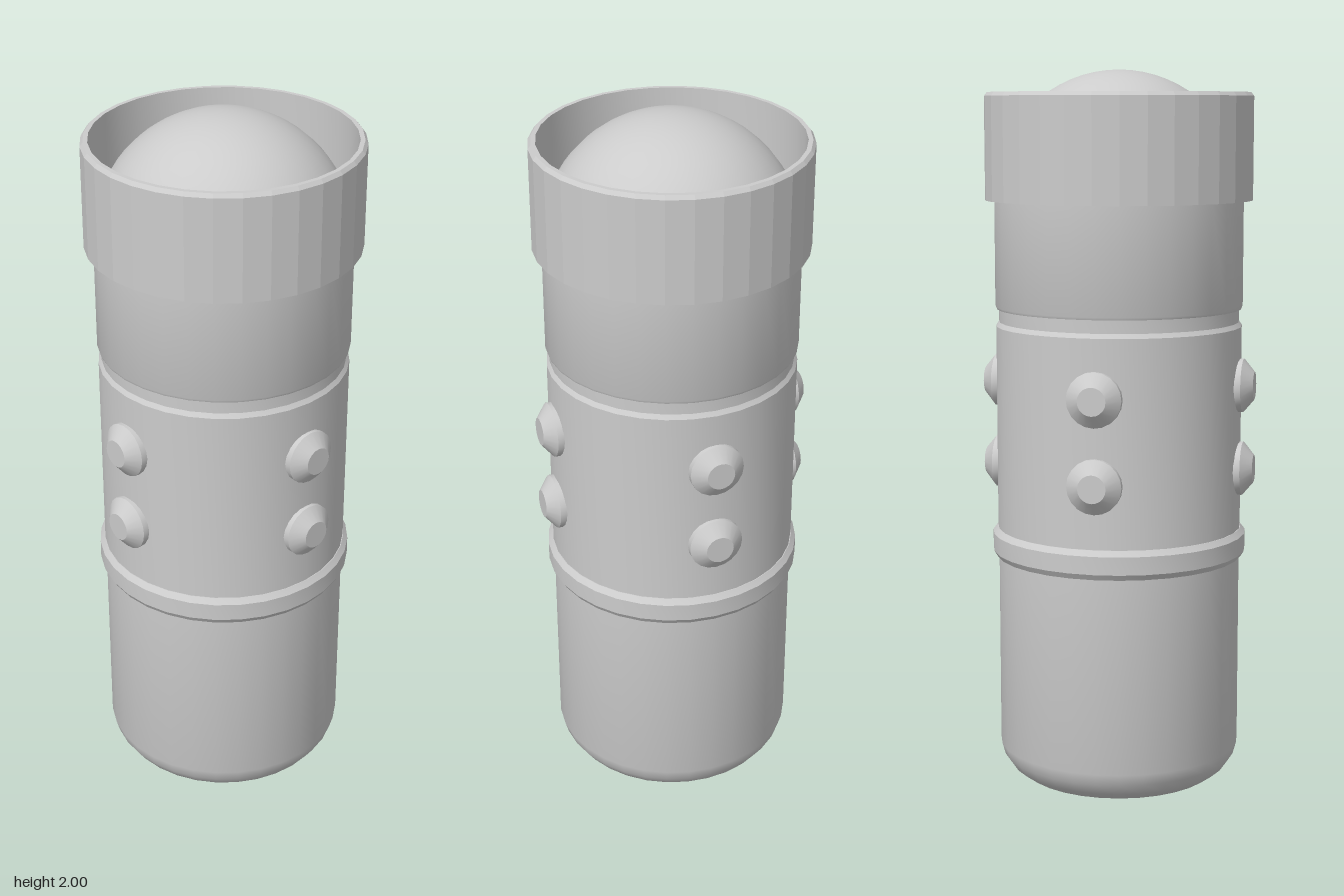
import * as THREE from 'three';
import { toCreasedNormals } from 'three/addons/utils/BufferGeometryUtils.js';

const SIDES = 32;
const material = new THREE.MeshStandardMaterial({ color: 0xcccccc });
const flatMaterial = new THREE.MeshStandardMaterial({ color: 0xcccccc, flatShading: true });

// Turned part from [radius, height] pairs listed bottom to top on the outside
function turned(name, profile, sides = SIDES, mat = material) {
  const points = profile.map(([r, y]) => new THREE.Vector2(r, y));
  const geometry = toCreasedNormals(new THREE.LatheGeometry(points, sides), THREE.MathUtils.degToRad(28));
  const mesh = new THREE.Mesh(geometry, mat);
  mesh.name = name;
  return mesh;
}

export function createModel() {
  const model = new THREE.Group();
  model.name = 'canister';

  // Lower shell with rounded, slightly pointed base
  model.add(turned('lowerBody', [
    [0, 0], [0.15, 0.014], [0.225, 0.026], [0.272, 0.042], [0.305, 0.066],
    [0.327, 0.098], [0.336, 0.13], [0.336, 0.69],
  ]));

  // Raised band around the waist
  model.add(turned('waistBand', [
    [0.33, 0.67], [0.342, 0.67], [0.352, 0.686], [0.352, 0.735], [0.34, 0.75], [0.33, 0.75],
  ]));

  // Middle shell carrying the studs, with a narrow groove above it
  model.add(turned('middleBody', [[0.338, 0.72], [0.338, 1.31], [0.33, 1.322], [0.33, 1.37]]));

  // Neck between groove and collar
  model.add(turned('neck', [[0.33, 1.358], [0.337, 1.358], [0.34, 1.365], [0.34, 1.66]]));

  // Faceted collar wall with a small bevel, and its smooth lining
  model.add(turned('collar', [
    [0.339, 1.652], [0.365, 1.652], [0.365, 1.93], [0.357, 1.94], [0.345, 1.94],
  ], SIDES, flatMaterial));
  model.add(turned('collarLining', [[0.345, 1.94], [0.345, 1.655], [0.33, 1.655]]));

  // Domed cap sitting inside the collar
  const dome = new THREE.Mesh(
    new THREE.SphereGeometry(0.342, SIDES, 16, 0, Math.PI * 2, 0, Math.PI / 2), material);
  dome.name = 'dome';
  dome.position.y = 1.658;
  model.add(dome);

  // Two rows of four chamfered studs
  for (const y of [0.92, 1.15]) {
    for (let i = 0; i < 4; i++) {
      const pivot = new THREE.Group();
      pivot.name = 'studMount';
      pivot.position.y = y;
      pivot.rotation.y = i * Math.PI / 2;
      const stud = turned('stud', [[0.074, 0.32], [0.074, 0.347], [0.038, 0.377], [0, 0.377]], 20);
      stud.rotation.x = Math.PI / 2;
      pivot.add(stud);
      model.add(pivot);
    }
  }
  return model;
}
